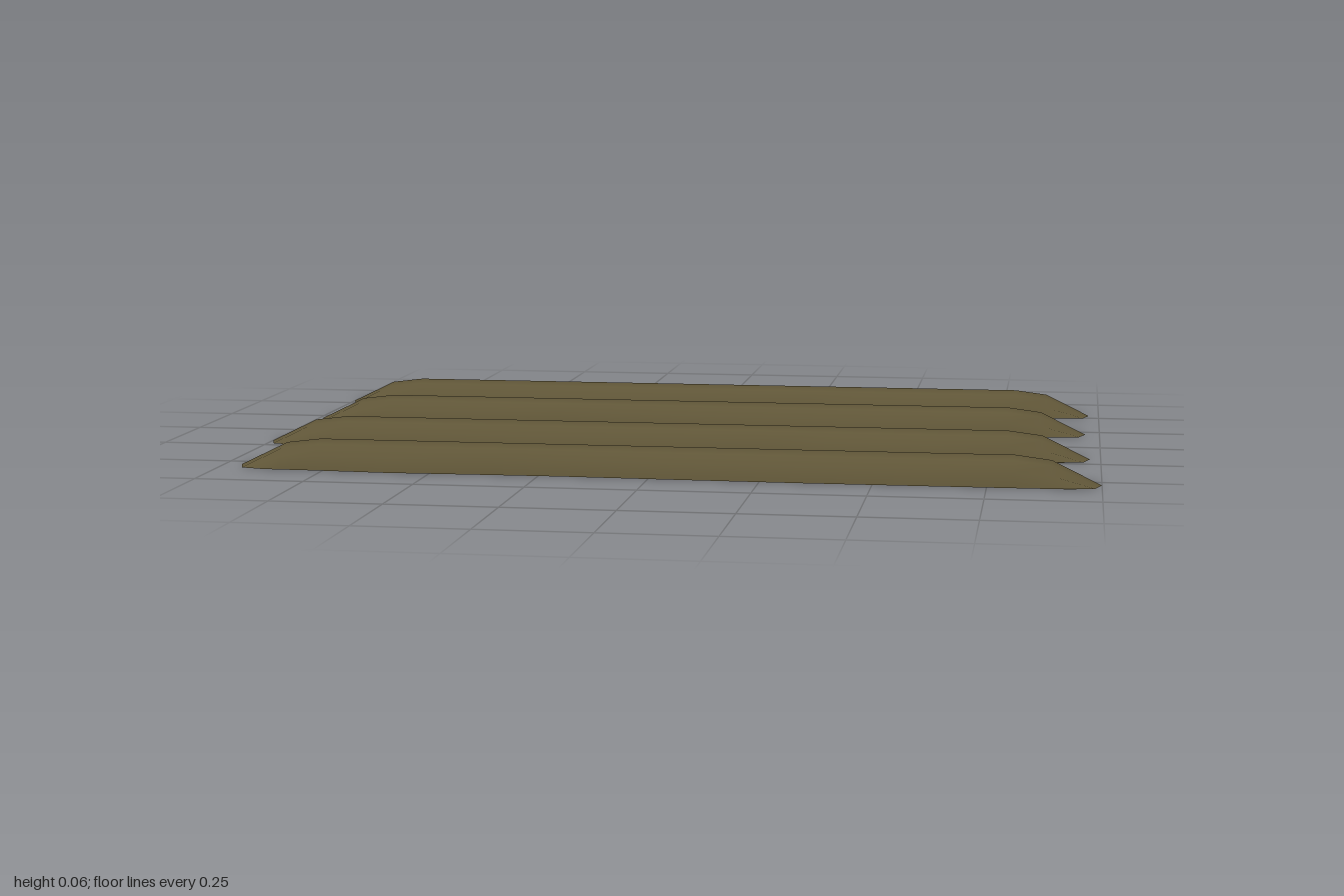
import * as THREE from 'three';

const HEIGHT = 0.064;
const SIDES = 6; // facets over the half-round section

// Half-round log, open underneath, with both ends tapering down to the ground.
// widths: [x, half width] stations along the straight part.
function logGeometry(x0, x1, widths) {
  const endReach = [0, 0.055, 0.062, 0.07, 0.062, 0.055, 0];
  const endSpread = [1, 0.76, 0.4, 0, -0.4, -0.76, -1];
  const pos = [], index = [];

  const tip = (x, dir) => {
    for (let j = 0; j <= SIDES; j++) {
      pos.push(x - dir * (0.07 - endReach[j]), 0, 0.06 * endSpread[j]);
    }
  };
  const section = (x, w, h) => {
    for (let j = 0; j <= SIDES; j++) {
      const a = (j / SIDES) * Math.PI;
      pos.push(x, h * Math.sin(a), w * Math.cos(a));
    }
  };

  tip(x0, -1);
  section(x0 + 0.11, 0.061, 0.054);
  section(x0 + 0.19, 0.062, HEIGHT);
  for (const [x, w] of widths) section(x, w, HEIGHT);
  section(x1 - 0.19, 0.063, HEIGHT);
  section(x1 - 0.11, 0.061, 0.054);
  tip(x1, 1);

  const row = SIDES + 1;
  const rings = pos.length / 3 / row;
  for (let i = 0; i < rings - 1; i++) {
    for (let j = 0; j < SIDES; j++) {
      const a = i * row + j, b = a + row;
      index.push(a, b, b + 1, a, b + 1, a + 1);
    }
  }
  const g = new THREE.BufferGeometry();
  g.setAttribute('position', new THREE.Float32BufferAttribute(pos, 3));
  g.setIndex(index);
  g.computeVertexNormals();
  return g;
}

export function createModel() {
  const group = new THREE.Group();
  group.name = 'logRow';
  const wood = new THREE.MeshStandardMaterial({ color: 0x5f5537, side: THREE.DoubleSide });

  // Uneven thickness; every other log is turned end for end
  const widths = [[-0.6, 0.066], [-0.35, 0.068], [-0.05, 0.065], [0.2, 0.06], [0.36, 0.063], [0.6, 0.07]];
  const turned = widths.map(([x, w]) => [-x, w]).reverse();

  const logs = [
    ['backLog', -0.54, -1, 0.975, widths],
    ['backMiddleLog', -0.21, -0.99, 0.965, turned],
    ['frontMiddleLog', 0.18, -1, 0.975, widths],
    ['frontLog', 0.54, -0.96, 1, turned],
  ];
  for (const [name, z, x0, x1, w] of logs) {
    const mesh = new THREE.Mesh(logGeometry(x0, x1, w), wood);
    mesh.name = name;
    mesh.position.z = z;
    group.add(mesh);
  }
  return group;
}
